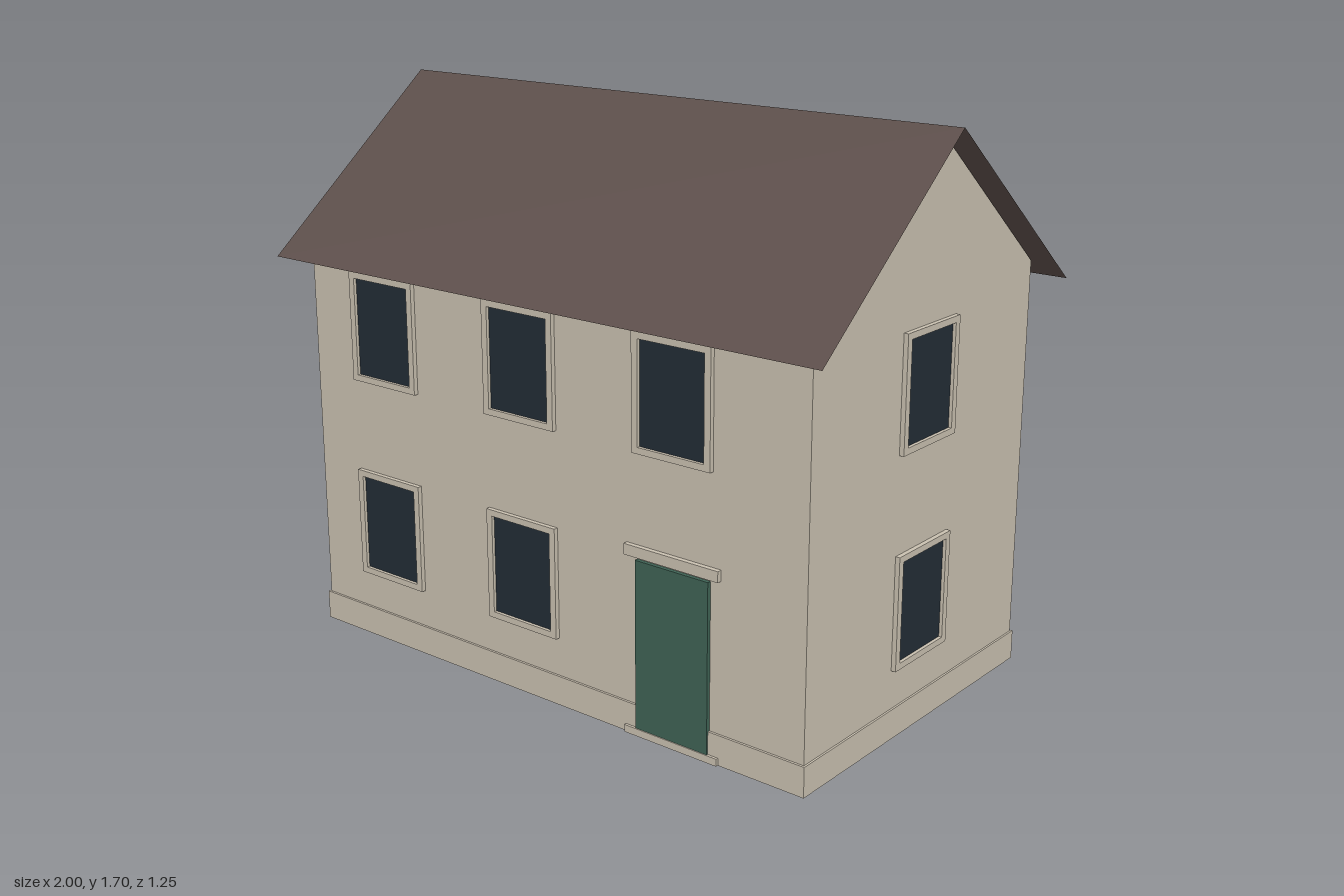
import * as THREE from 'three';

const stone = new THREE.MeshStandardMaterial({ name: 'warm stone', color: 0xc9c0b0 });
const slate = new THREE.MeshStandardMaterial({ name: 'brown roof', color: 0x5d4f4b, side: THREE.DoubleSide });
const glass = new THREE.MeshStandardMaterial({ name: 'dark glass', color: 0x222c35 });
const paint = new THREE.MeshStandardMaterial({ name: 'green door paint', color: 0x3f6355 });

const WALL_X = 0.923, WALL_Z = 0.549, EAVES = 1.25, RIDGE = 1.697;

function add(parent, name, geometry, material, x = 0, y = 0, z = 0) {
  const mesh = new THREE.Mesh(geometry, material);
  mesh.name = name;
  mesh.position.set(x, y, z);
  parent.add(mesh);
  return mesh;
}

// Box given by its extents on each axis
function block(parent, name, material, [x0, x1], [y0, y1], [z0, z1]) {
  return add(parent, name, new THREE.BoxGeometry(x1 - x0, y1 - y0, z1 - z0), material,
    (x0 + x1) / 2, (y0 + y1) / 2, (z0 + z1) / 2);
}

// Rectangle outline centred on the origin
function rectangle(Type, w, h) {
  return new Type([[-w, -h], [w, -h], [w, h], [-w, h]].map(([x, y]) => new THREE.Vector2(x / 2, y / 2)));
}

// Raised surround with a recessed pane, facing +z with its back on z = 0
function makeWindow() {
  const group = new THREE.Group();
  group.name = 'window';
  const surround = rectangle(THREE.Shape, 0.266, 0.338);
  surround.holes.push(rectangle(THREE.Path, 0.224, 0.3));
  add(group, 'windowSurround', new THREE.ExtrudeGeometry(surround, { depth: 0.014, bevelEnabled: false }), stone);
  add(group, 'windowPane', new THREE.BoxGeometry(0.224, 0.3, 0.004), glass, 0, 0, 0.002);
  return group;
}

export function createModel() {
  const house = new THREE.Group();
  house.name = 'house';

  // Gabled body, extruded along x
  const gable = new THREE.Shape([
    [-WALL_Z, 0.04], [WALL_Z, 0.04], [WALL_Z, EAVES - 0.003], [0, RIDGE], [-WALL_Z, EAVES - 0.003],
  ].map(([z, y]) => new THREE.Vector2(z, y)));
  const body = new THREE.ExtrudeGeometry(gable, { depth: WALL_X * 2, bevelEnabled: false });
  body.translate(0, 0, -WALL_X).rotateY(Math.PI / 2);
  add(house, 'walls', body, stone);
  block(house, 'plinth', stone, [-0.929, 0.929], [0, 0.09], [-0.556, 0.556]);

  // Thin roof slopes overhanging eaves and gables
  const eave = [0.625, 1.192], top = 1.7;
  const length = Math.hypot(eave[0], top - eave[1]);
  for (const side of [1, -1]) {
    const slope = new THREE.PlaneGeometry(2, length);
    slope.translate(0, -length / 2, 0);
    slope.rotateX(-Math.atan2(eave[0], top - eave[1]));
    if (side < 0) slope.rotateY(Math.PI);
    add(house, side > 0 ? 'frontRoofSlope' : 'backRoofSlope', slope, slate, 0, top, 0);
  }

  // Windows: front rows, and one per floor on each gable
  const place = (x, y, z, turn) => {
    const w = makeWindow();
    w.position.set(x, y, z);
    w.rotation.y = turn;
    house.add(w);
  };
  for (const [y, columns] of [[0.376, [-0.617, -0.066]], [1.002, [-0.617, -0.066, 0.485]]]) {
    for (const x of columns) place(x, y, WALL_Z, 0);
    for (const side of [1, -1]) place(side * WALL_X, y, 0, side * Math.PI / 2);
  }

  // Door with lintel and step
  block(house, 'door', paint, [0.361, 0.612], [0.022, 0.526], [0.54, 0.561]);
  block(house, 'doorLintel', stone, [0.323, 0.647], [0.535, 0.567], [0.54, 0.564]);
  block(house, 'doorStep', stone, [0.323, 0.647], [0, 0.022], [0.54, 0.564]);

  return house;
}
